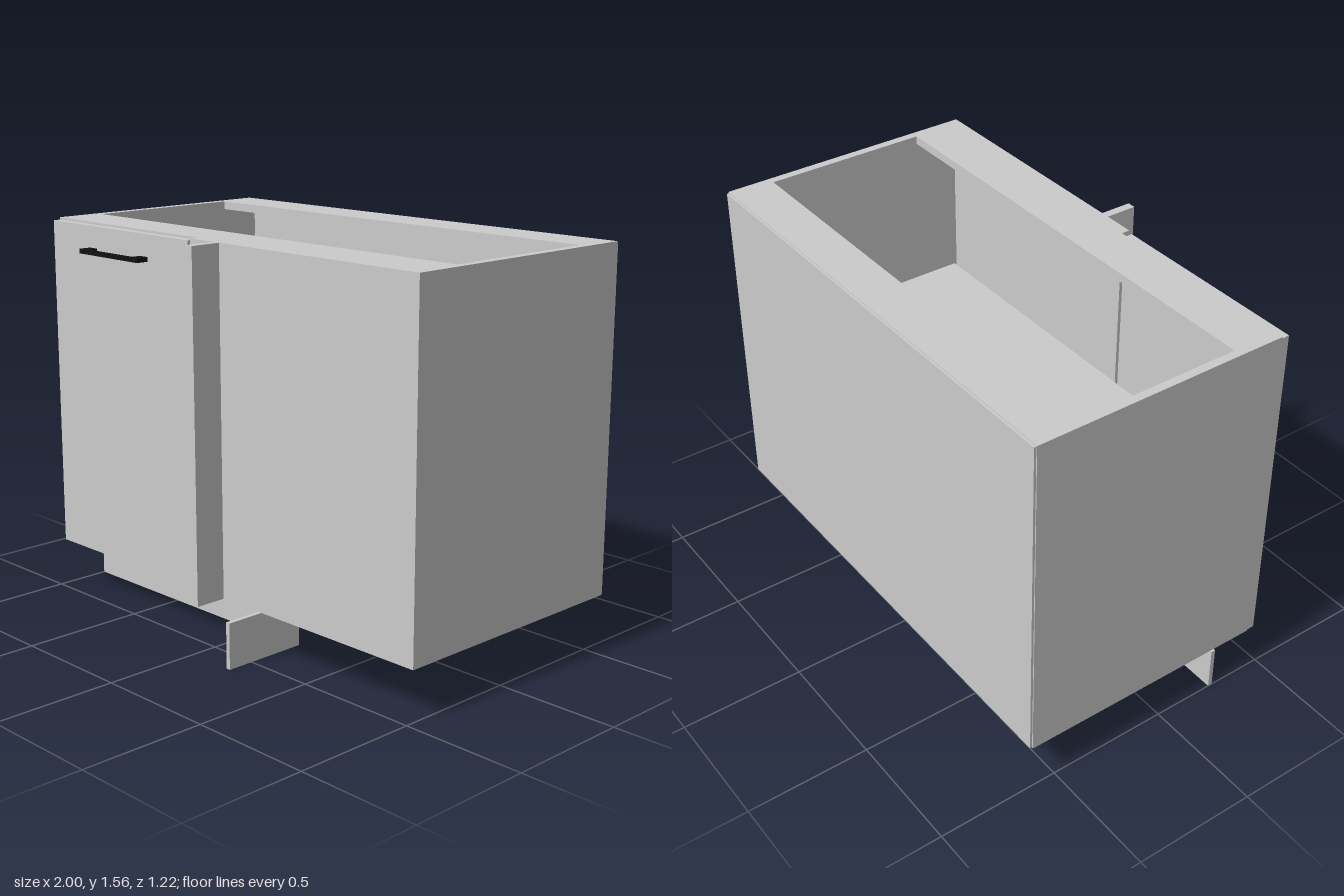
import * as THREE from 'three';

const grey = new THREE.MeshStandardMaterial({ color: 0xcccccc });
const black = new THREE.MeshStandardMaterial({ color: 0x111111 });

// Board given by its extents on each axis
function board(name, [x0, x1], [y0, y1], [z0, z1], material = grey) {
  const mesh = new THREE.Mesh(new THREE.BoxGeometry(x1 - x0, y1 - y0, z1 - z0), material);
  mesh.name = name;
  mesh.position.set((x0 + x1) / 2, (y0 + y1) / 2, (z0 + z1) / 2);
  return mesh;
}

export function createModel() {
  const model = new THREE.Group();
  model.name = 'cornerBaseCabinet';

  const bottom = 0.195, top = 1.56, t = 0.034;
  const back = -0.6, front = 0.436, face = 0.471;
  const height = [bottom, top], inner = [-1 + t, 1 - t];

  // Carcass
  const carcass = new THREE.Group();
  carcass.name = 'carcass';
  carcass.add(
    board('rightSide', [-1, -1 + t], height, [back, front]),
    board('leftSide', [1 - t, 1], height, [back, front]),
    board('bottomPanel', inner, [bottom, bottom + t], [back, front]),
    board('shelf', inner, [0.86, 0.893], [back, 0.425]),
    board('backTopRail', inner, [top - t, top], [back, -0.42]),
    board('frontTopRail', inner, [top - t, top], [0.25, front]),
    board('backPanel', [-0.996, 0.996], [bottom + 0.004, top - 0.004], [-0.609, back])
  );
  model.add(carcass);

  // Fixed front and the corner filler standing out from it
  model.add(
    board('fixedFront', [-0.141, 1], height, [front, face]),
    board('cornerFiller', [-0.013, 0.021], height, [face, 0.6])
  );

  // Door with its bar handle
  const door = new THREE.Group();
  door.name = 'door';
  door.add(board('doorPanel', [-0.996, -0.155], [bottom, 1.551], [front + 0.001, face]));
  const handle = new THREE.Group();
  handle.name = 'handle';
  const grip = [1.446, 1.464];
  handle.add(
    board('handleBar', [-0.758, -0.395], grip, [0.508, 0.522], black),
    board('handlePost', [-0.758, -0.712], grip, [face, 0.522], black),
    board('handlePost', [-0.441, -0.395], grip, [face, 0.522], black)
  );
  door.add(handle);
  model.add(door);

  // L-shaped plinth
  const plinth = new THREE.Group();
  plinth.name = 'plinth';
  plinth.add(
    board('plinthFront', [-1, 0.192], [0, 0.183], [0.254, 0.272]),
    board('plinthReturn', [0.192, 0.21], [0, 0.183], [0.254, 0.609])
  );
  model.add(plinth);

  return model;
}
